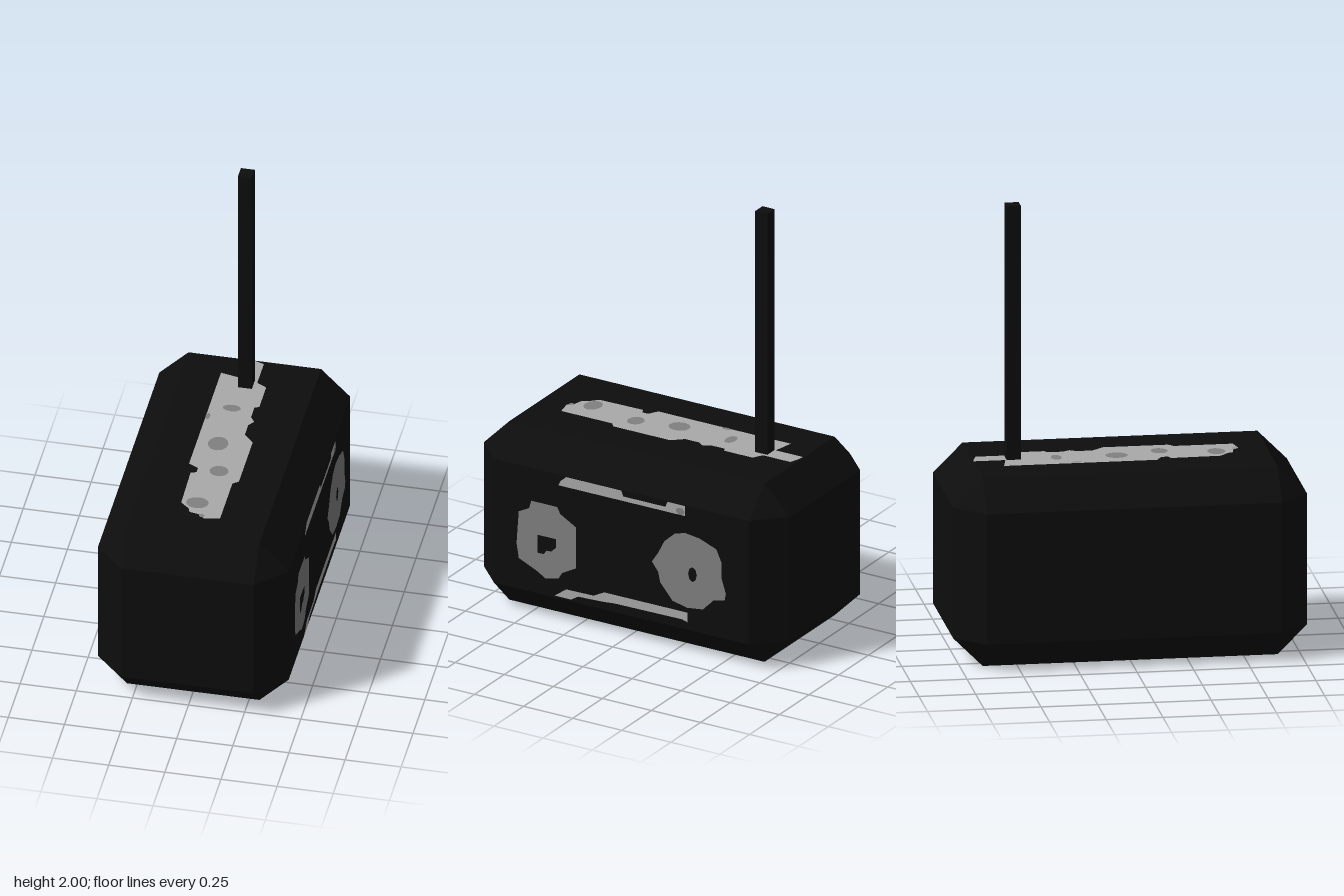
import * as THREE from 'three';
import { ConvexGeometry } from 'three/addons/geometries/ConvexGeometry.js';

const W = 0.425, H = 0.425, D = 0.78, BEVEL = 0.13;

const mat = (name, color) => {
  const m = new THREE.MeshStandardMaterial({ color });
  m.name = name;
  return m;
};

export function createModel() {
  const black = mat('black', 0x0d0d0d);
  const silver = mat('silver', 0xa9a9a9);
  const grey = mat('grey', 0x808080);

  const model = new THREE.Group();
  model.name = 'radio';
  const add = (name, geometry, material, x = 0, y = 0, z = 0) => {
    const mesh = new THREE.Mesh(geometry, material);
    mesh.name = name;
    mesh.position.set(x, y, z);
    model.add(mesh);
    return mesh;
  };

  // Body: box with every edge and corner bevelled
  const corners = [];
  for (const sx of [-1, 1]) for (const sy of [-1, 1]) for (const sz of [-1, 1]) {
    const a = W - BEVEL, b = H - BEVEL, c = D - BEVEL;
    for (const [x, y, z] of [[W, b, c], [a, H, c], [a, b, D]]) {
      corners.push(new THREE.Vector3(sx * x, sy * y, sz * z));
    }
  }
  add('body', new ConvexGeometry(corners), black, 0, H, 0);

  // Antenna, sunk slightly into the top
  add('antenna', new THREE.BoxGeometry(0.062, 1.17, 0.062), black, 0, 1.415, -0.473);

  // Painted faces: outlines are (z, y) on the left side and (x, z) on the top
  const toSide = ([z, y]) => new THREE.Vector2(-z, y);
  const toTop = ([x, z]) => new THREE.Vector2(x, -z);
  const oval = (u, v, ru, rv, n = 12) => Array.from({ length: n }, (_, i) => {
    const t = (i / n) * Math.PI * 2;
    return [u + ru * Math.cos(t), v + rv * Math.sin(t)];
  });
  const paintSide = (name, outline, material, lift = 0.003, hole = null) => {
    const shape = new THREE.Shape(outline.map(toSide));
    if (hole) shape.holes.push(new THREE.Path(hole.map(toSide)));
    add(name, new THREE.ShapeGeometry(shape).rotateY(Math.PI / 2), material, W + lift);
  };
  const paintTop = (name, outline, material, lift = 0.003) => {
    const shape = new THREE.Shape(outline.map(toTop));
    add(name, new THREE.ShapeGeometry(shape).rotateX(-Math.PI / 2), material, 0, 2 * H + lift);
  };

  // Speakers with dark centres
  paintSide('frontSpeaker', [
    [0.458, 0.565], [0.326, 0.565], [0.31, 0.535], [0.231, 0.49], [0.231, 0.294], [0.3, 0.257],
    [0.32, 0.225], [0.384, 0.21], [0.427, 0.236], [0.522, 0.278], [0.533, 0.347],
    [0.522, 0.5], [0.469, 0.527],
  ], grey, 0.003, [
    [0.427, 0.41], [0.331, 0.41], [0.331, 0.37], [0.358, 0.345], [0.38, 0.345],
    [0.395, 0.325], [0.427, 0.325],
  ]);
  paintSide('rearSpeaker', [
    [-0.326, 0.59], [-0.4, 0.58], [-0.485, 0.548], [-0.511, 0.49], [-0.511, 0.416],
    [-0.533, 0.347], [-0.527, 0.315], [-0.469, 0.3], [-0.416, 0.246], [-0.337, 0.236],
    [-0.262, 0.252], [-0.199, 0.326], [-0.188, 0.374], [-0.156, 0.416], [-0.188, 0.464],
    [-0.22, 0.527], [-0.273, 0.575],
  ], grey, 0.003, oval(-0.363, 0.4, 0.022, 0.035, 8));

  // Trim strips above and below the speakers
  paintSide('upperTrim', [
    [0.32, 0.67], [0.31, 0.692], [0.28, 0.718], [0, 0.718], [-0.01, 0.692],
    [-0.225, 0.692], [-0.236, 0.718], [-0.325, 0.718], [-0.325, 0.67],
  ], silver);
  paintSide('upperTrimSpot', oval(-0.302, 0.688, 0.022, 0.017), grey, 0.005);
  paintSide('lowerTrim', [
    [0.34, 0.14], [0.28, 0.183], [0.14, 0.185], [0.087, 0.213], [-0.337, 0.213],
    [-0.337, 0.167], [-0.31, 0.175], [0.035, 0.172], [0.09, 0.167], [0.22, 0.162], [0.255, 0.14],
  ], silver);

  // Worn strip along the top, with grey spots
  paintTop('topStrip', [
    [-0.125, -0.53], [-0.03, -0.51], [-0.03, -0.65], [0, -0.645], [0.045, -0.63], [0.045, -0.49],
    [0.09, -0.465], [0.09, -0.32], [0.07, -0.31], [0.07, -0.24], [0.09, -0.21], [0.07, -0.18],
    [0.07, -0.11], [0.115, -0.06], [0.115, 0.23], [0.09, 0.25], [0.09, 0.51], [0.02, 0.525],
    [0, 0.5], [-0.05, 0.49], [-0.06, 0.465], [-0.1, 0.43], [-0.105, 0.21], [-0.08, 0.2],
    [-0.08, 0.17], [-0.125, 0.145],
  ], silver);
  for (const [x, z, rx, rz] of [
    [-0.025, -0.285, 0.04, 0.024], [-0.115, -0.207, 0.01, 0.022], [-0.03, -0.02, 0.045, 0.05],
    [0.015, 0.175, 0.042, 0.038], [-0.03, 0.42, 0.05, 0.04], [0.008, 0.508, 0.012, 0.012],
  ]) paintTop('topSpot', oval(x, z, rx, rz), grey, 0.005);

  return model;
}
